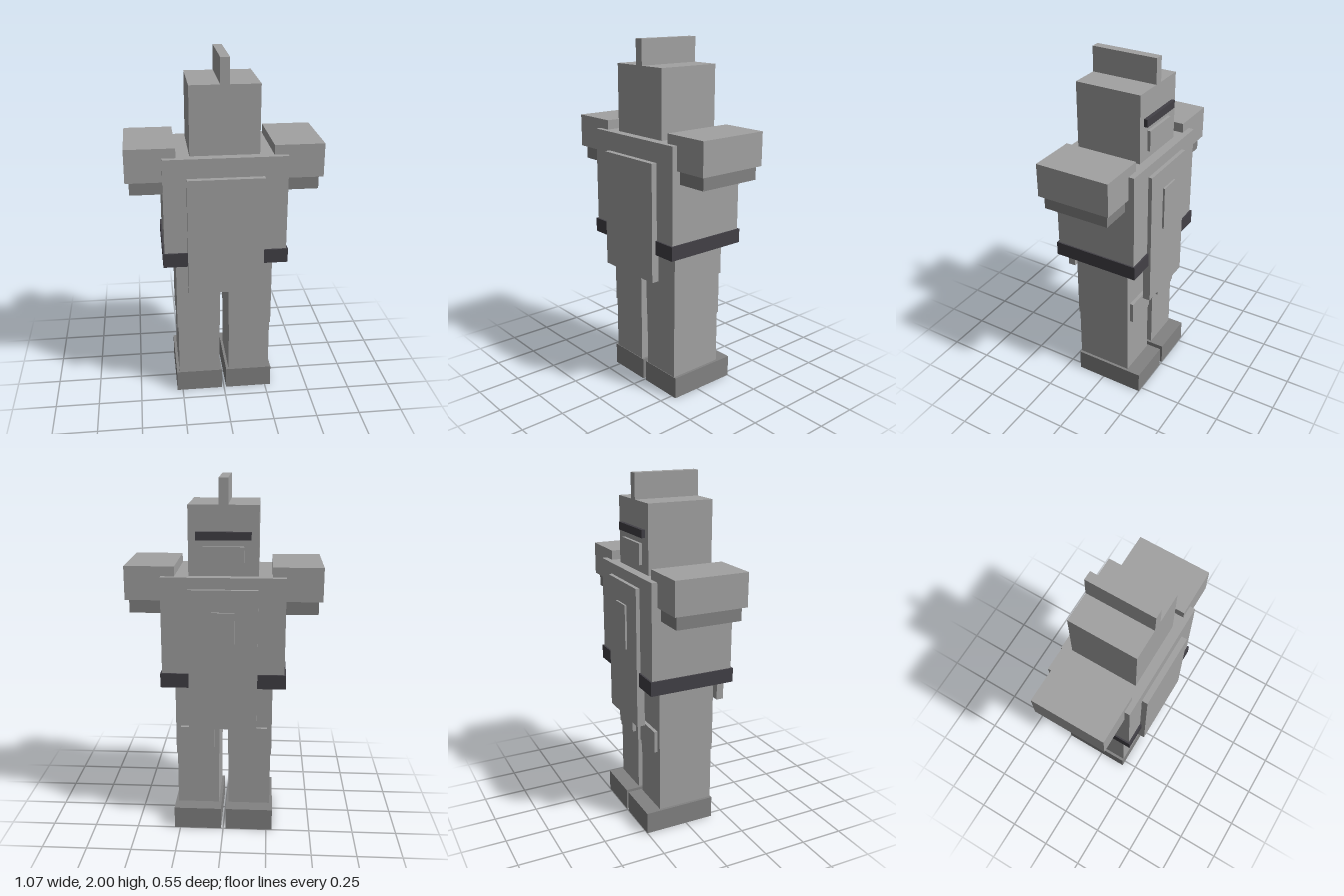
import * as THREE from 'three';

export function createModel() {
  const model = new THREE.Group();
  const material = (name, color) => {
    const m = new THREE.MeshStandardMaterial({ color });
    m.name = name;
    return m;
  };
  const light = material('light steel', 0xa2a2a2);
  const mid = material('mid steel', 0x828282);
  const dark = material('dark leather', 0x424046);

  // Adds a box given by its lower and upper bounds on each axis
  function block(name, mat, [x0, x1], [y0, y1], [z0, z1], parent = model) {
    const mesh = new THREE.Mesh(new THREE.BoxGeometry(x1 - x0, y1 - y0, z1 - z0), mat);
    mesh.name = name;
    mesh.position.set((x0 + x1) / 2, (y0 + y1) / 2, (z0 + z1) / 2);
    parent.add(mesh);
    return mesh;
  }

  // Helmet with crest, eye slit and breather
  const helmet = new THREE.Group();
  helmet.name = 'helmet';
  model.add(helmet);
  block('head', light, [-0.188, 0.188], [1.485, 1.862], [-0.188, 0.188], helmet);
  block('crest', light, [-0.025, 0.025], [1.862, 2], [-0.188, 0.188], helmet);
  block('eyeSlit', dark, [-0.148, 0.148], [1.68, 1.723], [-0.208, -0.186], helmet);
  block('breather', light, [-0.11, 0.11], [1.53, 1.645], [-0.205, -0.186], helmet);

  // Torso, belt and hanging cloths
  block('torso', light, [-0.336, 0.336], [0.92, 1.487], [-0.24, 0.24]);
  block('belt', dark, [-0.345, 0.345], [0.873, 0.953], [-0.25, 0.25]);
  block('cape', light, [-0.21, 0.208], [0.715, 1.38], [0.23, 0.273]);
  block('tabard', light, [-0.188, 0.188], [0.635, 1.425], [-0.262, -0.217]);
  block('chestEmblem', light, [-0.062, 0.062], [1.053, 1.305], [-0.273, -0.26]);

  // Arms and legs, mirrored left and right
  for (const side of [1, -1]) {
    const prefix = side > 0 ? 'left' : 'right';
    const span = (a, b) => (side > 0 ? [a, b] : [-b, -a]);
    const part = (name, mat, x, y, z) => block(prefix + name, mat, span(...x), y, z);
    part('Shoulder', light, [0.262, 0.533], [1.355, 1.54], [-0.208, 0.21]);
    part('Arm', mid, [0.285, 0.512], [1.28, 1.357], [-0.188, 0.188]);
    part('Thigh', light, [0.025, 0.273], [0.44, 0.875], [-0.166, 0.168]);
    part('Shin', light, [0.028, 0.267], [0.125, 0.442], [-0.163, 0.165]);
    part('KneePlate', light, [0.055, 0.245], [0.485, 0.61], [-0.186, -0.164]);
    part('Boot', mid, [0.013, 0.283], [0, 0.127], [-0.25, 0.168]);
  }
  return model;
}
